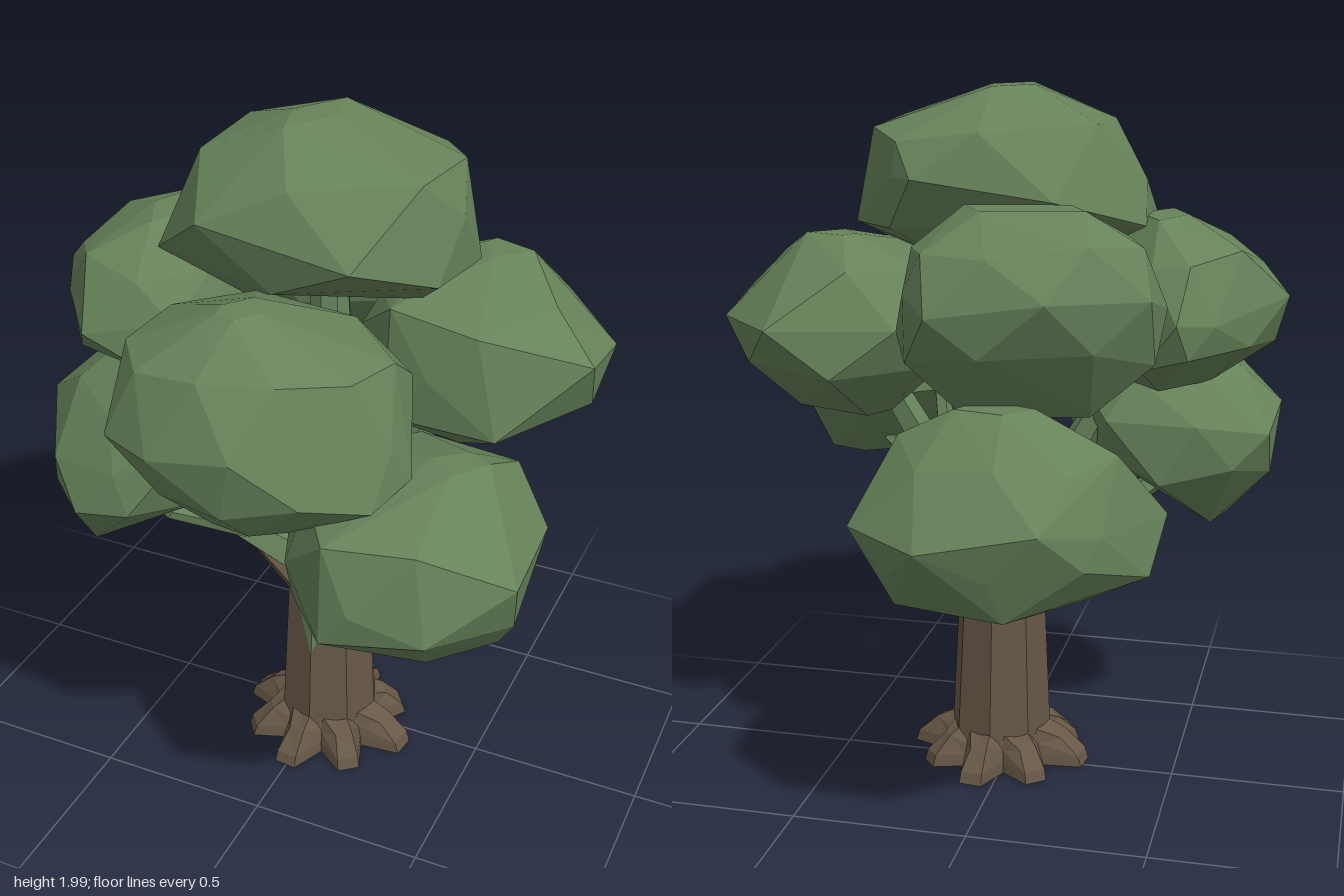
import * as THREE from 'three';
import { ConvexGeometry } from 'three/addons/geometries/ConvexGeometry.js';

const leafGreen = new THREE.MeshStandardMaterial({ color: 0x67835a });
const barkBrown = new THREE.MeshStandardMaterial({ color: 0x675847 });

// Small seeded generator for the irregular foliage facets
function seeded(seed) {
  let s = seed * 7919 + 13;
  return () => (s = (s * 16807) % 2147483647) / 2147483647;
}

// Flat-faced skin over rings of points listed from bottom to top
function loft(rings, capBottom) {
  const pos = [];
  const tri = (...pts) => pts.forEach((p) => pos.push(p.x, p.y, p.z));
  const n = rings[0].length;
  for (let j = 0; j < n; j++) {
    const k = (j + 1) % n;
    for (let i = 0; i + 1 < rings.length; i++) {
      const lo = rings[i], hi = rings[i + 1];
      tri(lo[j], hi[j], hi[k]);
      tri(lo[j], hi[k], lo[k]);
    }
    if (capBottom) tri(new THREE.Vector3(0.03, rings[0][0].y, 0.05), rings[0][j], rings[0][k]);
  }
  const geo = new THREE.BufferGeometry();
  geo.setAttribute('position', new THREE.Float32BufferAttribute(pos, 3));
  geo.computeVertexNormals();
  return geo;
}

// Chunky convex clump: the plan outline (x, z) is fitted to the extents of each level,
// with corners staggered between levels
function clumpGeometry({ plan, levels }, seed) {
  const rnd = seeded(seed);
  const corners = plan.map(([x, z]) => new THREE.Vector2(x, z));
  const middles = corners.map((p, i) => p.clone().lerp(corners[(i + 1) % corners.length], 0.5));
  const ends = corners.filter((_, i) => i % 2 === 0);
  const pts = [];
  [ends, middles, corners, middles, ends].forEach((outline, i) => {
    const [y, x0, x1, z0, z1] = levels[i];
    const box = new THREE.Box2().setFromPoints(outline);
    const size = box.getSize(new THREE.Vector2());
    const wobble = i === 0 || i === 4 ? 0 : 0.07;
    for (const p of outline) {
      const u = (p.x - box.min.x) / size.x, v = (p.y - box.min.y) / size.y;
      pts.push(new THREE.Vector3(x0 + u * (x1 - x0), y + (rnd() - 0.5) * wobble, z0 + v * (z1 - z0)));
    }
  });
  return new ConvexGeometry(pts);
}

// Tapered limb between two points
function limbGeometry(a, b, r0, r1) {
  const start = new THREE.Vector3(...a), dir = new THREE.Vector3(...b).sub(start);
  const len = dir.length();
  const geo = new THREE.CylinderGeometry(r1, r0, len, 5).translate(0, len / 2, 0);
  geo.applyQuaternion(new THREE.Quaternion().setFromUnitVectors(new THREE.Vector3(0, 1, 0), dir.normalize()));
  geo.translate(start.x, start.y, start.z);
  const flat = geo.toNonIndexed();
  flat.computeVertexNormals();
  return flat;
}

// Foliage: plan outline, then levels from top to bottom (height, x extents, z extents)
const clumps = {
  crownFoliage: {
    plan: [[-0.4, 0.05], [-0.2, -0.27], [0.2, -0.28], [0.27, -0.22], [0.42, 0.06], [0.24, 0.38], [-0.2, 0.37]],
    levels: [[2.0, -0.06, 0.06, -0.06, 0.2], [1.88, -0.27, 0.36, -0.24, 0.34], [1.75, -0.38, 0.41, -0.28, 0.4],
      [1.62, -0.4, 0.42, -0.22, 0.36], [1.54, -0.26, 0.3, -0.1, 0.24]],
  },
  frontUpperFoliage: {
    plan: [[-0.28, 0.55], [-0.2, 0.3], [0.1, 0.22], [0.4, 0.3], [0.46, 0.57], [0.32, 0.73], [0.16, 0.86], [-0.07, 0.86], [-0.23, 0.79]],
    levels: [[1.69, -0.01, 0.09, 0.52, 0.65], [1.57, -0.25, 0.38, 0.3, 0.8], [1.42, -0.28, 0.43, 0.23, 0.87],
      [1.3, -0.17, 0.46, 0.38, 0.85], [1.18, 0.02, 0.22, 0.65, 0.77]],
  },
  rightUpperFoliage: {
    plan: [[-0.78, 0.05], [-0.61, -0.25], [-0.52, -0.33], [-0.38, -0.22], [-0.2, 0.08], [-0.3, 0.32], [-0.54, 0.4], [-0.7, 0.2]],
    levels: [[1.66, -0.5, -0.36, -0.1, 0.17], [1.56, -0.7, -0.26, -0.25, 0.32], [1.42, -0.78, -0.2, -0.33, 0.4],
      [1.31, -0.74, -0.2, -0.29, 0.36], [1.2, -0.57, -0.3, -0.12, 0.18]],
  },
  leftUpperFoliage: {
    plan: [[0.21, -0.39], [0.55, -0.46], [0.76, -0.2], [0.77, 0.06], [0.37, 0.21], [0.12, 0.05], [0.1, -0.2]],
    levels: [[1.61, 0.38, 0.52, -0.22, -0.1], [1.51, 0.15, 0.64, -0.36, 0.17], [1.4, 0.1, 0.77, -0.46, 0.2],
      [1.25, 0.12, 0.75, -0.44, 0.2], [1.11, 0.3, 0.57, -0.22, 0.04]],
  },
  backUpperFoliage: {
    plan: [[-0.48, -0.5], [-0.25, -0.68], [0.05, -0.68], [0.14, -0.55], [0.2, -0.3], [0.0, -0.15], [-0.35, -0.15], [-0.5, -0.35]],
    levels: [[1.72, -0.3, 0.03, -0.48, -0.3], [1.63, -0.45, 0.15, -0.64, -0.2], [1.5, -0.5, 0.2, -0.68, -0.15],
      [1.36, -0.48, 0.2, -0.66, -0.15], [1.2, -0.32, 0.07, -0.52, -0.28]],
  },
  leftLowerFoliage: {
    plan: [[0.42, 0.82], [0.77, 0.6], [0.75, 0.3], [0.66, 0.18], [0.45, 0.14], [0.2, 0.2], [0.1, 0.45], [0.2, 0.7]],
    levels: [[1.3, 0.48, 0.62, 0.37, 0.5], [1.2, 0.22, 0.69, 0.17, 0.8], [1.08, 0.1, 0.77, 0.14, 0.82],
      [0.95, 0.2, 0.75, 0.28, 0.82], [0.82, 0.42, 0.69, 0.42, 0.62]],
  },
  backLowerFoliage: {
    plan: [[-0.53, -0.48], [-0.4, -0.7], [-0.27, -0.84], [0.03, -0.87], [0.25, -0.7], [0.24, -0.4], [0.05, -0.2], [-0.3, -0.2]],
    levels: [[1.24, -0.2, 0.0, -0.62, -0.48], [1.13, -0.42, 0.15, -0.76, -0.36], [0.97, -0.53, 0.25, -0.87, -0.2],
      [0.86, -0.5, 0.24, -0.82, -0.2], [0.75, -0.32, 0.13, -0.77, -0.43]],
  },
  rightLowerFoliage: {
    plan: [[-0.76, 0.23], [-0.6, 0.51], [-0.4, 0.54], [-0.25, 0.48], [-0.13, 0.2], [-0.3, -0.08], [-0.55, -0.08], [-0.74, 0.05]],
    levels: [[1.33, -0.5, -0.3, 0.1, 0.33], [1.22, -0.66, -0.15, -0.02, 0.46], [1.08, -0.76, -0.13, -0.08, 0.52],
      [0.93, -0.74, -0.24, -0.08, 0.54], [0.75, -0.61, -0.5, 0.15, 0.4]],
  },
};

export function createModel() {
  const tree = new THREE.Group();
  tree.name = 'tree';
  const add = (name, geo, mat) => {
    const mesh = new THREE.Mesh(geo, mat);
    mesh.name = name;
    tree.add(mesh);
  };

  // Trunk rings; angle 0 faces +x, the third vertex faces the front
  const sides = 8;
  const ring = (n, at) => Array.from({ length: n }, (_, i) => {
    const a = (i / n) * Math.PI * 2, [r, y] = at(i);
    return new THREE.Vector3(0.03 + Math.cos(a) * r - 0.01 * y, y, 0.05 + Math.sin(a) * r - 0.02 * y);
  });
  const taper = (y) => 0.15 - 0.05 * (y - 0.12);
  const barkTop = [0.8, 0.6, 0.35, 0.6, 0.64, 0.58, 0.74, 0.58];
  add('trunk', loft([
    ring(sides, () => [taper(0.04), 0.04]),
    ring(sides, (i) => [taper(barkTop[i]), barkTop[i]]),
  ]), barkBrown);

  // Green upper stem showing between the points of bark
  add('upperStem', loft([
    ring(sides, () => [taper(0.3) - 0.004, 0.3]),
    ring(sides, () => [taper(0.8) - 0.004, 0.8]),
    ring(sides, () => [0.085, 0.95]),
    ring(sides, () => [0.05, 1.6]),
  ]), leafGreen);

  // Star-shaped root flare with blunt tips
  const reach = [0.27, 0.25, 0.26, 0.25, 0.27, 0.25, 0.26, 0.24];
  const star = (outer, inner, yOut, yIn) => ring(24, (i) =>
    i % 3 === 2 ? [inner, yIn] : [reach[(i - (i % 3)) / 3] * outer, yOut - (i % 3) * 0.1 * yOut]);
  add('roots', loft([
    star(1, 0.165, 0.01, 0.01),
    star(0.96, 0.16, 0.045, 0.045),
    star(0.74, 0.15, 0.1, 0.075),
    star(0.52, 0.135, 0.13, 0.12),
  ], true), barkBrown);

  // Branches: start, end, start radius, end radius
  const branches = [
    [[-0.06, 0.62, 0.07], [-0.4, 0.85, 0.2], 0.065, 0.03],
    [[-0.22, 0.74, 0.13], [-0.28, 1.02, 0.25], 0.035, 0.025],
    [[-0.16, 0.7, 0.11], [-0.34, 0.86, 0.34], 0.03, 0.02],
    [[0.08, 0.6, 0.1], [0.42, 0.92, 0.44], 0.065, 0.035],
    [[0.2, 0.72, 0.22], [0.22, 1.05, 0.36], 0.035, 0.025],
    [[0.24, 0.76, 0.26], [0.46, 0.9, 0.34], 0.03, 0.02],
    [[0.0, 0.55, -0.01], [-0.12, 0.82, -0.5], 0.06, 0.035],
    [[-0.05, 0.68, -0.2], [-0.25, 0.92, -0.34], 0.03, 0.022],
    [[0.06, 0.68, 0.0], [0.36, 1.25, -0.1], 0.06, 0.035],
    [[0.16, 0.88, -0.03], [0.22, 1.25, 0.06], 0.03, 0.02],
    [[-0.02, 0.68, 0.04], [-0.36, 1.28, 0.03], 0.06, 0.035],
    [[0.0, 0.7, 0.0], [-0.12, 1.3, -0.34], 0.06, 0.035],
    [[0.04, 0.66, 0.09], [0.08, 1.3, 0.46], 0.06, 0.035],
  ];
  branches.forEach(([a, b, r0, r1], i) => add(`branch${i + 1}`, limbGeometry(a, b, r0, r1), leafGreen));

  // Bark under the lowest forks
  [[-0.15, 0.66, 0.1], [0.15, 0.66, 0.17], [-0.03, 0.62, -0.13]].forEach((end, i) =>
    add(`barkFork${i + 1}`, limbGeometry([0.02 + end[0] * 0.3, 0.52, 0.04 + end[2] * 0.2], end, 0.07, 0.045), barkBrown));

  Object.entries(clumps).forEach(([name, clump], i) => add(name, clumpGeometry(clump, i + 3), leafGreen));

  return tree;
}
